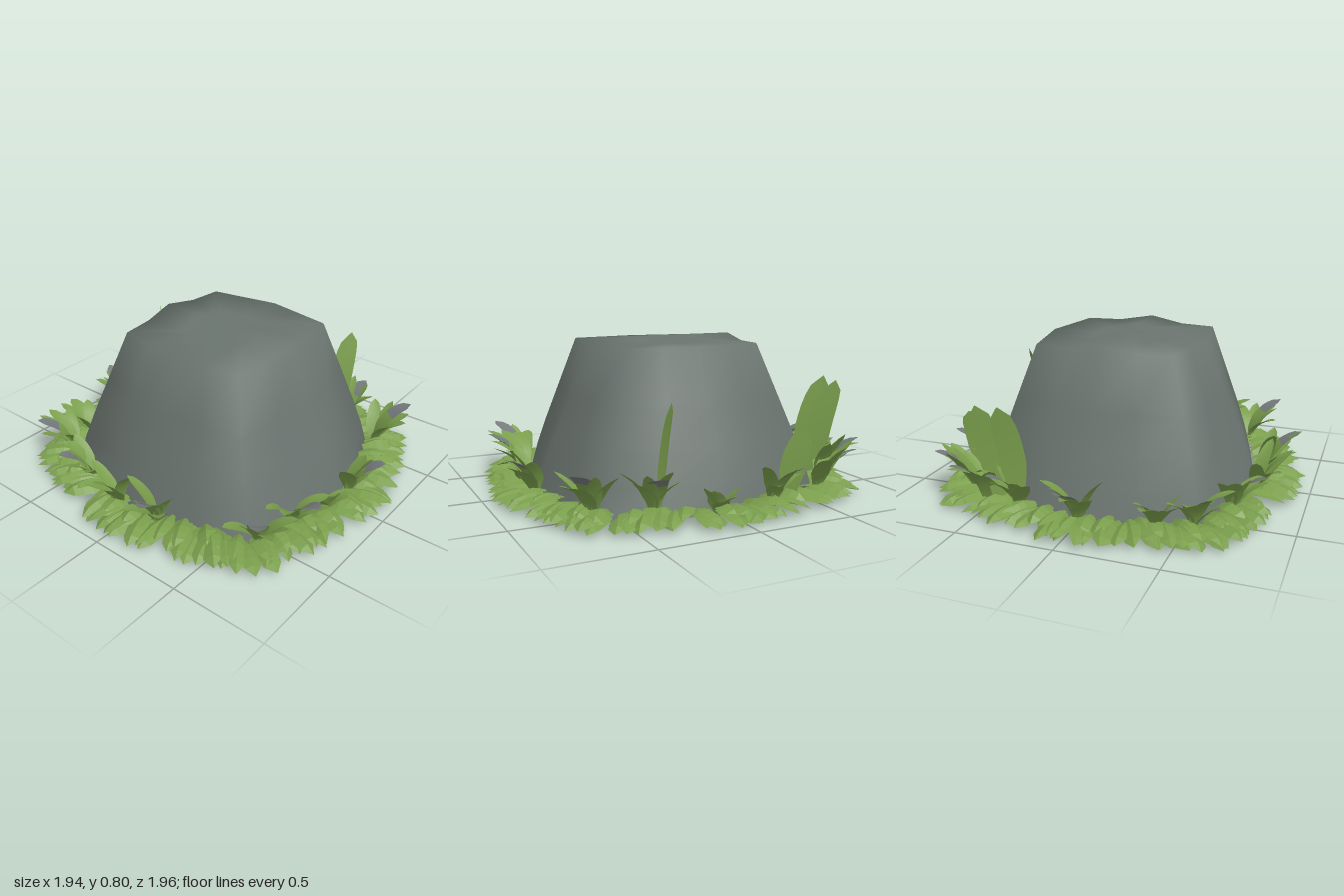
import * as THREE from 'three';
import { mergeGeometries } from 'three/addons/utils/BufferGeometryUtils.js';

// Plan outlines as [x, z], running from the front towards +x
const BASE = [[0.04, 0.73], [0.57, 0.58], [0.73, 0], [0.57, -0.6], [0, -0.73], [-0.57, -0.6], [-0.72, 0], [-0.57, 0.58]];
const TOP = [[0, 0.41], [0.37, 0.36], [0.43, 0], [0.36, -0.37], [0, -0.41], [-0.36, -0.37], [-0.42, 0], [-0.37, 0.36]];

let seed = 7;
function rand(a, b) {
  seed = (seed * 16807) % 2147483647;
  return a + (b - a) * (seed / 2147483647);
}

// Point on an outline, u from 0 to 1 round the loop
function along(outline, u) {
  const s = (((u % 1) + 1) % 1) * outline.length;
  const i = Math.floor(s) % outline.length;
  const k = s - Math.floor(s);
  const p = outline[i], q = outline[(i + 1) % outline.length];
  return [p[0] + (q[0] - p[0]) * k, p[1] + (q[1] - p[1]) * k];
}

function surface(points, indices) {
  const g = new THREE.BufferGeometry();
  g.setAttribute('position', new THREE.Float32BufferAttribute(points, 3));
  g.setIndex(indices);
  g.computeVertexNormals();
  return g;
}

// Open-bottomed boulder lofted from its base outline to its top outline
function boulder() {
  const N = 16;
  const levels = [[0, 0], [0.15, 0.15], [0.3, 0.34], [0.5, 0.62], [0.77, 1]];
  // vertical hollows: loop position, height, depth
  const hollows = [[0.9375, 0.3, 0.03], [0.0625, 0.1, 0.03], [0.1875, 0.25, 0.02], [0.5625, 0.4, 0.04], [0.6875, 0.2, 0.03], [0.4375, 0.2, 0.03]];
  const pts = [], idx = [];
  const add = (u, y, f, shrink) => {
    const a = along(BASE, u), b = along(TOP, u);
    let k = shrink;
    for (const [hu, hy, d] of hollows) {
      const du = Math.abs(((u - hu + 1.5) % 1) - 0.5);
      k -= shrink * d * Math.exp(-((du / 0.03) ** 2) - ((y - hy) / 0.18) ** 2);
    }
    const x = (a[0] + (b[0] - a[0]) * f) * k, z = (a[1] + (b[1] - a[1]) * f) * k;
    const ridge = f === 1 ? 0.03 * Math.max(0, 1 - Math.abs(x) / 0.16) : 0;
    pts.push(x, y + ridge, z);
  };
  for (const [y, f] of levels) for (let i = 0; i < N; i++) add(i / N, y, f, 1);
  for (let i = 0; i < N; i++) add(i / N, 0.77, 1, 0.45);
  for (let j = 0; j < levels.length; j++) {
    for (let i = 0; i < N; i++) {
      const a = j * N + i, b = j * N + ((i + 1) % N);
      idx.push(a, b, b + N, a, b + N, a + N);
    }
  }
  pts.push(0, 0.8, 0);
  const last = levels.length * N;
  for (let i = 0; i < N; i++) idx.push(last + i, last + ((i + 1) % N), last + N);
  return surface(pts, idx);
}

// Curved, folded leaf; elevation bends from e0 to e1, only the span t0..t1 is built
function leaf({ x, y, z, yaw, length, width, e0, e1, fold = 0.3, roll = 0, facing = yaw, t0 = 0, t1 = 1, blunt = 3, flat = false }) {
  const steps = 10, pts = [], idx = [];
  const sx = Math.cos(facing), sz = -Math.sin(facing);
  let out = 0, up = 0, rows = 0;
  for (let i = 0; i <= steps; i++) {
    const t = i / steps;
    const e = e0 + (e1 - e0) * t;
    if (t >= t0 - 1e-6 && t <= t1 + 1e-6 && (!flat || i % 2 === 0)) {
      const w = width * 0.5 * Math.max(0.02, Math.min(1, 0.35 + 1.6 * t) * Math.sqrt(1 - t ** blunt));
      const px = x + Math.sin(yaw) * out, pz = z + Math.cos(yaw) * out;
      for (const s of [-1, 0, 1]) {
        const lift = s === 0 ? -fold * w * Math.cos(e) : roll * s * w;
        const back = s === 0 ? fold * w * Math.sin(e) : 0;
        pts.push(px + sx * s * w + Math.sin(yaw) * back, Math.max(0.005, y + up + lift), pz + sz * s * w + Math.cos(yaw) * back);
      }
      if (rows++ > 0) {
        const b = (rows - 2) * 3;
        for (const k of [b, b + 1]) idx.push(k, k + 1, k + 4, k, k + 4, k + 3);
      }
    }
    out += Math.cos(e) * length / steps;
    up += Math.sin(e) * length / steps;
  }
  const g = surface(pts, idx).toNonIndexed();
  if (flat) g.computeVertexNormals();
  return g;
}

export function createModel() {
  const model = new THREE.Group();
  const material = (name, color) => new THREE.MeshStandardMaterial({ name, color, side: THREE.DoubleSide });
  const stone = material('stone grey', 0x6a746f);
  const green = material('leaf green', 0x7a9e4c);
  const grey = material('pale grey', 0x767b7d);
  const part = (name, geometry, mat) => {
    const mesh = new THREE.Mesh(geometry, mat);
    mesh.name = name;
    model.add(mesh);
  };

  part('boulder', boulder(), stone);

  // Low leaves lying round the foot of the boulder, in overlapping layers
  [[76, 0.024, 0.26], [60, 0.036, 0.27], [52, 0.05, 0.2]].forEach(([count, y, length], layer) => {
    const leaves = [];
    for (let i = 0; i < count; i++) {
      const [x, z] = along(BASE, (i + rand(-0.3, 0.3)) / count);
      leaves.push(leaf({
        x, y, z, yaw: Math.atan2(x, z) + rand(-0.3, 0.3),
        length: length * rand(0.85, 1.02), width: rand(0.085, 0.115),
        e0: 0.16, e1: -0.24, fold: rand(-0.65, -0.3), roll: rand(-0.4, 0.4), blunt: 4, flat: true,
      }));
    }
    part('groundLeaves' + (layer + 1), mergeGeometries(leaves), green);
  });

  // Upright tufts: x, z, height, whether one leaf has a grey tip
  const tufts = [
    [-0.55, -0.65, 0.26, 1], [-0.67, -0.38, 0.24, 1], [-0.02, -0.77, 0.25, 1], [0.32, -0.7, 0.24, 1],
    [0.5, -0.69, 0.28, 1], [0.63, -0.58, 0.27, 1], [0.75, -0.23, 0.24, 1], [0.66, 0.36, 0.25, 1],
    [0.56, 0.62, 0.28, 1], [0.08, 0.75, 0.24, 1], [-0.34, 0.68, 0.27, 1], [-0.55, 0.63, 0.28, 1],
    [-0.73, 0.15, 0.27, 1], [-0.13, 0.74, 0.14, 0], [0.76, 0.08, 0.14, 0], [-0.74, -0.1, 0.25, 0], [-0.38, -0.7, 0.22, 0],
  ];
  const tuftLeaves = [], tips = [];
  for (const [x, z, height, tipped] of tufts) {
    const outward = Math.atan2(x, z);
    for (let i = 0; i < 5; i++) {
      const spread = (i - 2) * 0.6;
      tuftLeaves.push(leaf({
        x, y: 0.03, z, yaw: outward + spread + rand(-0.15, 0.15),
        length: height * rand(0.9, 1.2), width: rand(0.075, 0.1), e0: rand(1.1, 1.5), e1: rand(-0.1, 0.8), fold: 0.2,
      }));
    }
    if (tipped) {
      const spec = { x, y: 0.03, z, yaw: outward + rand(-0.3, 0.3), length: height * 1.2, width: 0.1, e0: 1.45, e1: 0.15, fold: 0.1, blunt: 6 };
      tuftLeaves.push(leaf({ ...spec, t1: 0.6 }));
      tips.push(leaf({ ...spec, t0: 0.6 }));
    }
  }
  part('tufts', mergeGeometries(tuftLeaves), green);
  part('greyLeafTips', mergeGeometries(tips), grey);

  // Tall grass blades: x, z, lean direction, facing, length
  const blades = [
    [0.64, 0.32, Math.PI / 2, -Math.PI / 4, 0.56],
    [0.32, -0.7, 2.9, Math.PI / 4, 0.57], [0.43, -0.69, 2.75, Math.PI / 4, 0.56],
    [0.72, -0.34, 2.8, Math.PI / 4, 0.38],
  ].map(([x, z, yaw, facing, length]) => leaf({ x, y: 0.02, z, yaw, facing, length, width: 0.13, e0: 1.52, e1: 1.15, fold: 0.1, blunt: 7 }));
  part('tallBlades', mergeGeometries(blades), green);

  return model;
}
